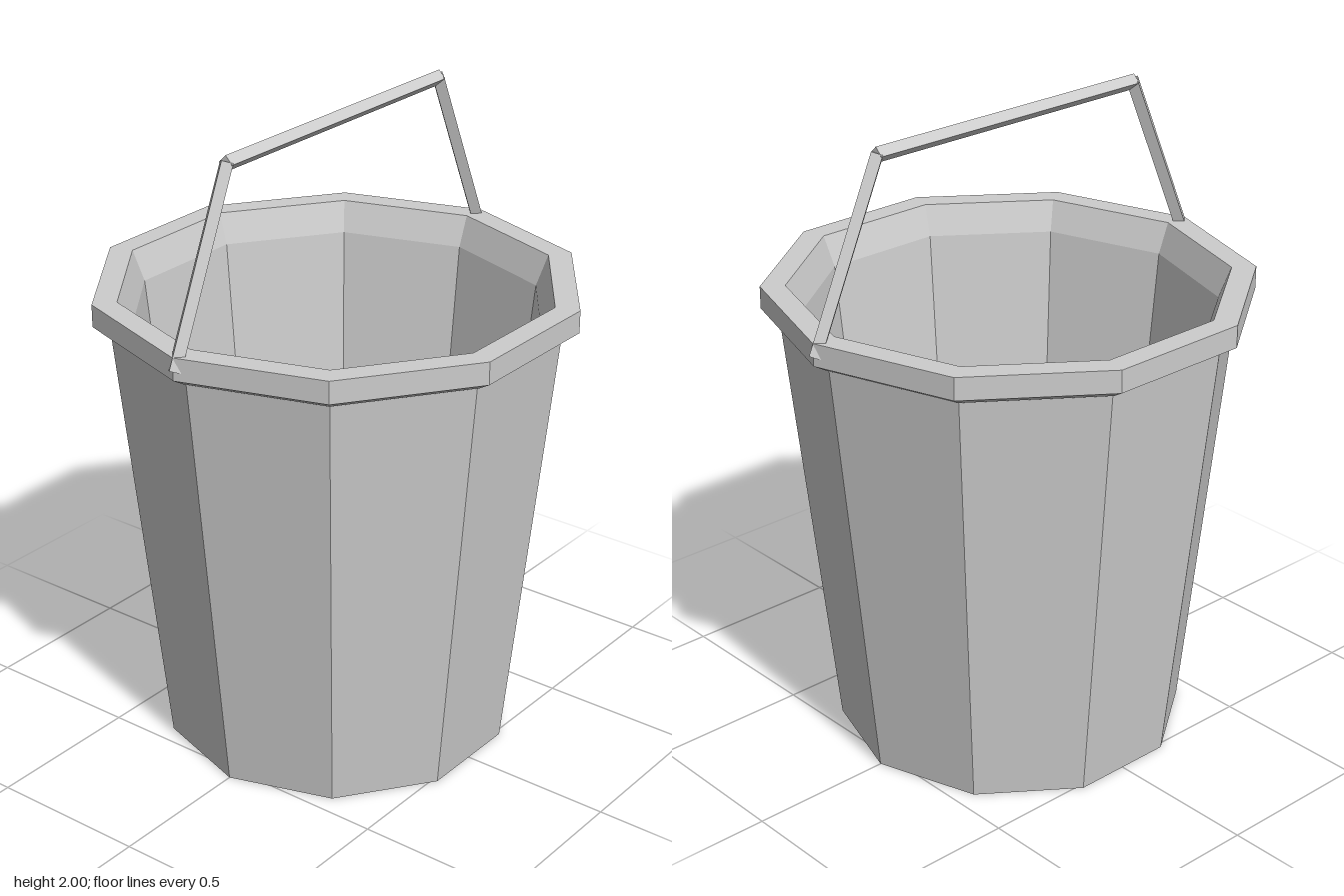
import * as THREE from 'three';

const SIDES = 10;

// Unshared vertices give every facet its own flat normal
function faceted(geometry) {
  const g = geometry.toNonIndexed();
  g.computeVertexNormals();
  return g;
}

export function createModel() {
  const group = new THREE.Group();
  group.name = 'bucket';
  const metal = new THREE.MeshStandardMaterial({ color: 0xcccccc });
  metal.name = 'light grey metal';

  function add(name, geometry) {
    const mesh = new THREE.Mesh(faceted(geometry), metal);
    mesh.name = name;
    group.add(mesh);
    return mesh;
  }

  // Ten-sided ring from [radius, height] pairs, with corners on the x axis
  function ring(name, profile) {
    const points = profile.map(([r, y]) => new THREE.Vector2(r, y));
    return add(name, new THREE.LatheGeometry(points, SIDES, Math.PI / 2));
  }

  // Tapered wall: underside, outside, then down the inside to the floor
  ring('outerWall', [[0, 0], [0.543, 0], [0.69, 1.39]]);
  ring('innerWall', [[0.63, 1.385], [0.495, 0.1], [0, 0.1]]);

  // Rim: bevelled beneath, flat on top, sloping inward to the inner wall
  ring('rim', [[0.685, 1.385], [0.7, 1.385], [0.742, 1.41], [0.742, 1.48], [0.667, 1.48], [0.63, 1.385]]);

  // Handle: three diamond-section bars
  function bar(name, x1, y1, x2, y2) {
    const from = new THREE.Vector3(x1, y1, 0);
    const to = new THREE.Vector3(x2, y2, 0);
    const dir = to.clone().sub(from);
    const mesh = add(name, new THREE.CylinderGeometry(0.024, 0.024, dir.length(), 4));
    mesh.position.copy(from).add(to).multiplyScalar(0.5);
    mesh.quaternion.setFromUnitVectors(new THREE.Vector3(0, 1, 0), dir.normalize());
  }
  bar('handleGrip', -0.5, 1.976, 0.5, 1.976);
  bar('handleArmLeft', 0.735, 1.435, 0.495, 1.98);
  bar('handleArmRight', -0.735, 1.435, -0.495, 1.98);

  return group;
}
